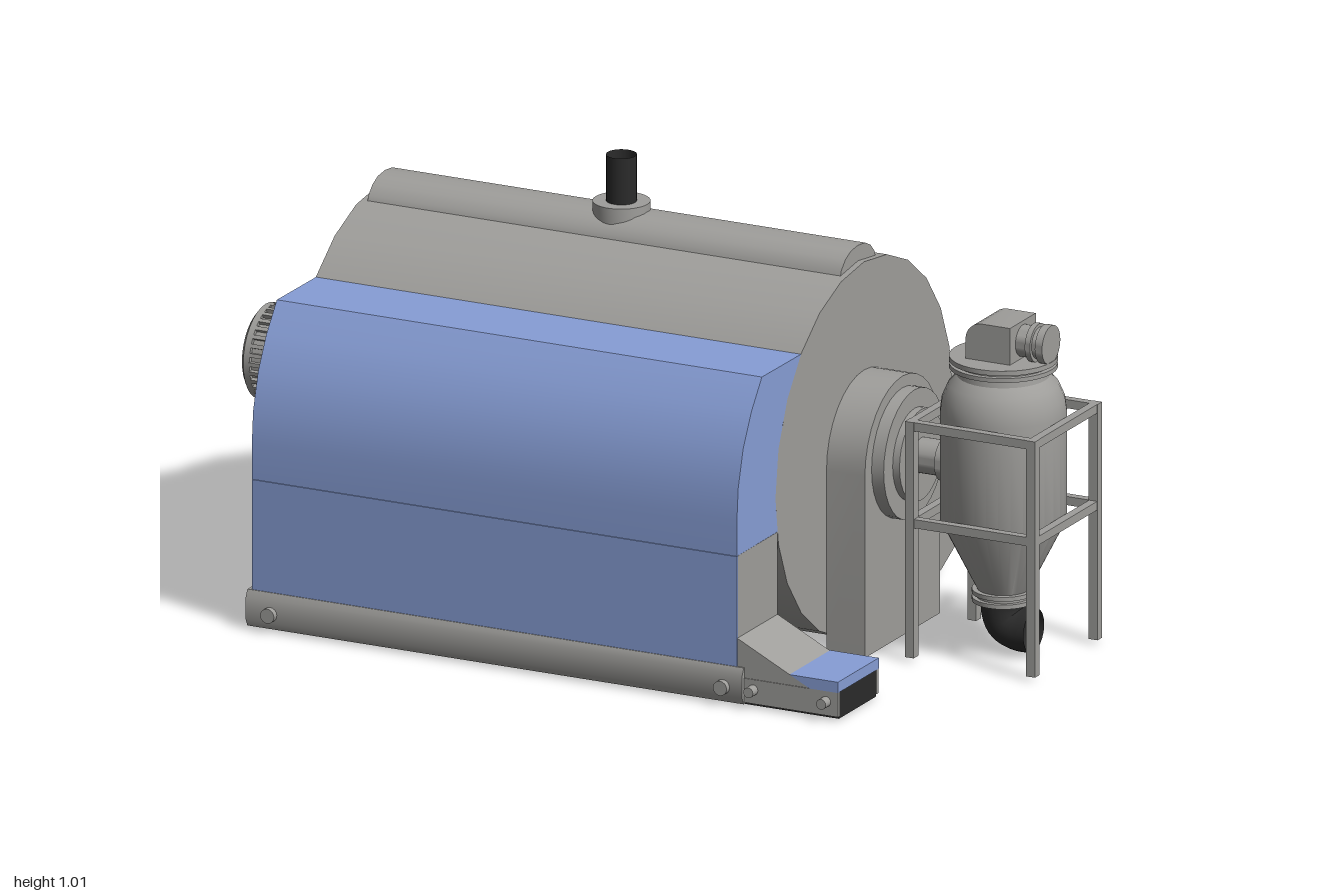
import * as THREE from 'three';
import { toCreasedNormals } from 'three/addons/utils/BufferGeometryUtils.js';

const paint = (name, color, side = THREE.FrontSide) => {
  const m = new THREE.MeshStandardMaterial({ color, side });
  m.name = name;
  return m;
};

export function createModel() {
  const grey = paint('machineGrey', 0x9f9e9b);
  const blue = paint('hoodBlue', 0x879ed6);
  const black = paint('rubberBlack', 0x2b2b2b, THREE.DoubleSide);
  const model = new THREE.Group();
  model.name = 'drumMachine';

  const add = (name, geo, mat = grey, parent = model) => {
    const mesh = new THREE.Mesh(geo, mat);
    mesh.name = name;
    parent.add(mesh);
    return mesh;
  };
  const group = (name) => {
    const g = new THREE.Group();
    g.name = name;
    model.add(g);
    return g;
  };
  // box from its min and max corners
  const box = (x0, x1, y0, y1, z0, z1) =>
    new THREE.BoxGeometry(x1 - x0, y1 - y0, z1 - z0)
      .translate((x0 + x1) / 2, (y0 + y1) / 2, (z0 + z1) / 2);
  const arc = (cx, cy, r, a0, a1, n) => Array.from({ length: n + 1 }, (_, i) => {
    const a = a0 + (a1 - a0) * i / n;
    return [cx + r * Math.cos(a), cy + r * Math.sin(a)];
  });
  const extrude = (pts, depth) => new THREE.ExtrudeGeometry(
    new THREE.Shape(pts.map(p => new THREE.Vector2(...p))), { depth, bevelEnabled: false });
  // (z, y) profile swept from x0 to x1
  const sweepX = (pts, x0, x1) =>
    toCreasedNormals(extrude(pts, x1 - x0).rotateY(-Math.PI / 2).translate(x1, 0, 0), 0.5);
  // (x, y) profile swept from z0 to z1
  const sweepZ = (pts, z0, z1) =>
    toCreasedNormals(extrude(pts, z1 - z0).translate(0, 0, z0), 0.5);
  // turned part from [radius, height] pairs
  const turned = (pts, n = 32) => toCreasedNormals(
    new THREE.LatheGeometry(pts.map(p => new THREE.Vector2(...p)), n), 0.5);
  const turnedX = (pts, y, n) => turned(pts, n).rotateZ(-Math.PI / 2).translate(0, y, 0);

  const PI = Math.PI, X0 = -0.71, X1 = 0.49, CY = 0.425, R = 0.425;

  // drum housing with rear ledge
  add('drumHousing', sweepX([
    ...arc(0, CY, R, 0, PI, 12),
    ...arc(-0.21, CY, R, PI, 1.5 * PI, 8),
    ...arc(0, CY, R, 1.5 * PI, 2 * PI, 6).slice(0, -1),
  ], X0, X1));

  // front hood
  const aLow = Math.asin((0.345 - CY) / R);
  add('hood', sweepX([
    [0.61, 0.345], [0.61, 0.425], [0.604, 0.5], [0.58, 0.585], [0.54, 0.66], [0.49, 0.725],
    ...arc(0, CY, R - 0.003, PI / 4, aLow, 5),
  ], X0, X1), blue);
  add('lowerCasing', box(X0, X1, 0.08, 0.345, 0.415, 0.604));
  add('lowerFrontPanel', box(X0, X1, 0.09, 0.344, 0.604, 0.61), blue);

  // end pedestals
  const pedestal = [[-0.18, 0], [0.18, 0], ...arc(0, 0.42, 0.18, 0, PI, 16)];
  add('leftPedestal', sweepX(pedestal, X1, 0.585));
  add('rightPedestal', sweepX(pedestal, -0.81, X0));

  // bearings and shaft
  add('leftBearing', turnedX([[0, 0.58], [0.148, 0.58], [0.148, 0.615], [0.105, 0.615],
    [0.105, 0.632], [0.04, 0.632], [0.04, 0.71], [0, 0.71]], CY));
  add('rightBearing', turnedX([[0, -0.872], [0.1, -0.872], [0.1, -0.835], [0.148, -0.835],
    [0.148, -0.805], [0, -0.805]], CY));

  // ribbed drive motor
  const motor = group('driveMotor');
  add('motorBody', turnedX([[0, -1], [0.095, -1], [0.108, -0.99], [0.108, -0.975], [0.099, -0.975],
    [0.099, -0.905], [0.108, -0.905], [0.108, -0.885], [0.085, -0.885], [0.085, -0.865], [0, -0.865]], CY),
    grey, motor);
  for (let i = 0; i < 32; i++) {
    const rib = add('motorRib', new THREE.BoxGeometry(0.075, 0.012, 0.009), grey, motor);
    const a = i * PI / 16;
    rib.position.set(-0.94, CY + 0.102 * Math.cos(a), 0.102 * Math.sin(a));
    rib.rotation.x = a;
  }

  // ridge cover on top of the drum
  add('ridgeCover', sweepX([[-0.085, 0.835], [0.085, 0.835], [0.08, 0.85], [0.06, 0.87],
    [0.035, 0.882], [0, 0.886], [-0.035, 0.882], [-0.06, 0.87], [-0.08, 0.85]], -0.695, 0.475));

  // flanged pipe stubs
  const stub = (name, z, yBase, yFlange, yTop, rFlange, rPipe) => {
    const g = group(name);
    g.position.set(-0.11, 0, z);
    add('flange', turned([[0, yBase], [rFlange, yBase], [rFlange, yFlange], [0, yFlange]]), grey, g);
    add('pipe', new THREE.CylinderGeometry(rPipe, rPipe, yTop - yFlange, 24, 1, true)
      .translate(0, (yTop + yFlange) / 2, 0), black, g);
  };
  stub('topPipe', 0, 0.865, 0.903, 1.01, 0.064, 0.034);
  stub('rearPipe', -0.53, 0.42, 0.45, 0.552, 0.094, 0.059);

  // conveyor under the hood
  const conveyor = group('conveyor');
  add('belt', box(-0.715, 0.738, 0.004, 0.082, 0.423, 0.602), black, conveyor);
  add('beltCover', box(-0.72, 0.5, 0.082, 0.09, 0.42, 0.605), grey, conveyor);
  const rail = (s, out) => {
    const p = [[0.6, 0.006], [out - 0.008, 0.006], [out, 0.022], [out, 0.074], [out - 0.008, 0.09], [0.6, 0.09]];
    return s > 0 ? p : p.map(([z, y]) => [1.025 - z, y]).reverse();
  };
  for (const s of [1, -1]) {
    const side = s > 0 ? 'front' : 'back';
    add(side + 'Rail', sweepX(rail(s, 0.62), -0.72, 0.508), grey, conveyor);
    add(side + 'RailEnd', box(0.508, 0.74, 0.01, 0.066, s > 0 ? 0.6 : 0.415, s > 0 ? 0.61 : 0.425), grey, conveyor);
    for (const [x, r] of [[-0.66, 0.017], [0.46, 0.017], [0.53, 0.012], [0.71, 0.012]]) {
      add('bolt', new THREE.CylinderGeometry(r, r, 0.034, 16).rotateX(PI / 2)
        .translate(x, 0.042, s > 0 ? 0.617 : 0.408), grey, conveyor);
    }
  }
  add('chute', sweepZ([[0.49, 0.06], [0.68, 0.06], [0.62, 0.09], [0.49, 0.155]], 0.415, 0.608), grey, conveyor);
  add('chuteLid', sweepZ([[0.67, 0.066], [0.74, 0.066], [0.74, 0.091], [0.62, 0.091]], 0.414, 0.61), blue, conveyor);

  // dust collector tank, built around its own axis
  const collector = group('dustCollector');
  collector.position.x = 0.835;
  add('tank', turned([[0, 0.12], [0.07, 0.12], [0.07, 0.13], [0.06, 0.13], [0.06, 0.138], [0.07, 0.138],
    [0.07, 0.148], [0.058, 0.148], [0.14, 0.31], [0.14, 0.56], [0.136, 0.59], [0.122, 0.622], [0.103, 0.642],
    [0.1, 0.66], [0.12, 0.66], [0.12, 0.67], [0.108, 0.67], [0.108, 0.676], [0.12, 0.676], [0.12, 0.687],
    [0, 0.687]]), grey, collector);
  add('inletCone', turnedX([[0.05, -0.146], [0.05, -0.14], [0.045, -0.1], [0, -0.1]], CY).clone(), grey, collector);

  // discharge elbow
  const bend = new THREE.CatmullRomCurve3([[0, 0.125], [0, 0.1], [0.012, 0.072], [0.04, 0.06], [0.075, 0.06]]
    .map(([x, y]) => new THREE.Vector3(x, y, 0)));
  add('dischargeElbow', new THREE.TubeGeometry(bend, 16, 0.05, 20), black, collector);

  // outlet head and nozzle
  add('outletHead', sweepZ([[-0.062, 0.685], [0.048, 0.685], [0.048, 0.772],
    ...arc(-0.022, 0.732, 0.04, PI / 2, PI, 6)], -0.062, 0.062), grey, collector);
  add('outletNozzle', turnedX([[0, 0.04], [0.036, 0.04], [0.036, 0.075], [0.044, 0.075], [0.044, 0.088],
    [0.036, 0.088], [0.036, 0.1], [0.044, 0.1], [0.044, 0.118], [0, 0.118]], 0.727), grey, collector);

  // support frame
  for (const s of [-1, 1]) {
    for (const t of [-1, 1]) {
      add('framePost', new THREE.BoxGeometry(0.022, 0.545, 0.022)
        .translate(s * 0.15, 0.2825, t * 0.15), grey, collector);
    }
    for (const y of [0.545, 0.321]) {
      add('frameRail', new THREE.BoxGeometry(0.28, 0.02, 0.02).translate(0, y, s * 0.15), grey, collector);
      add('frameRail', new THREE.BoxGeometry(0.02, 0.02, 0.28).translate(s * 0.15, y, 0), grey, collector);
    }
  }
  return model;
}
